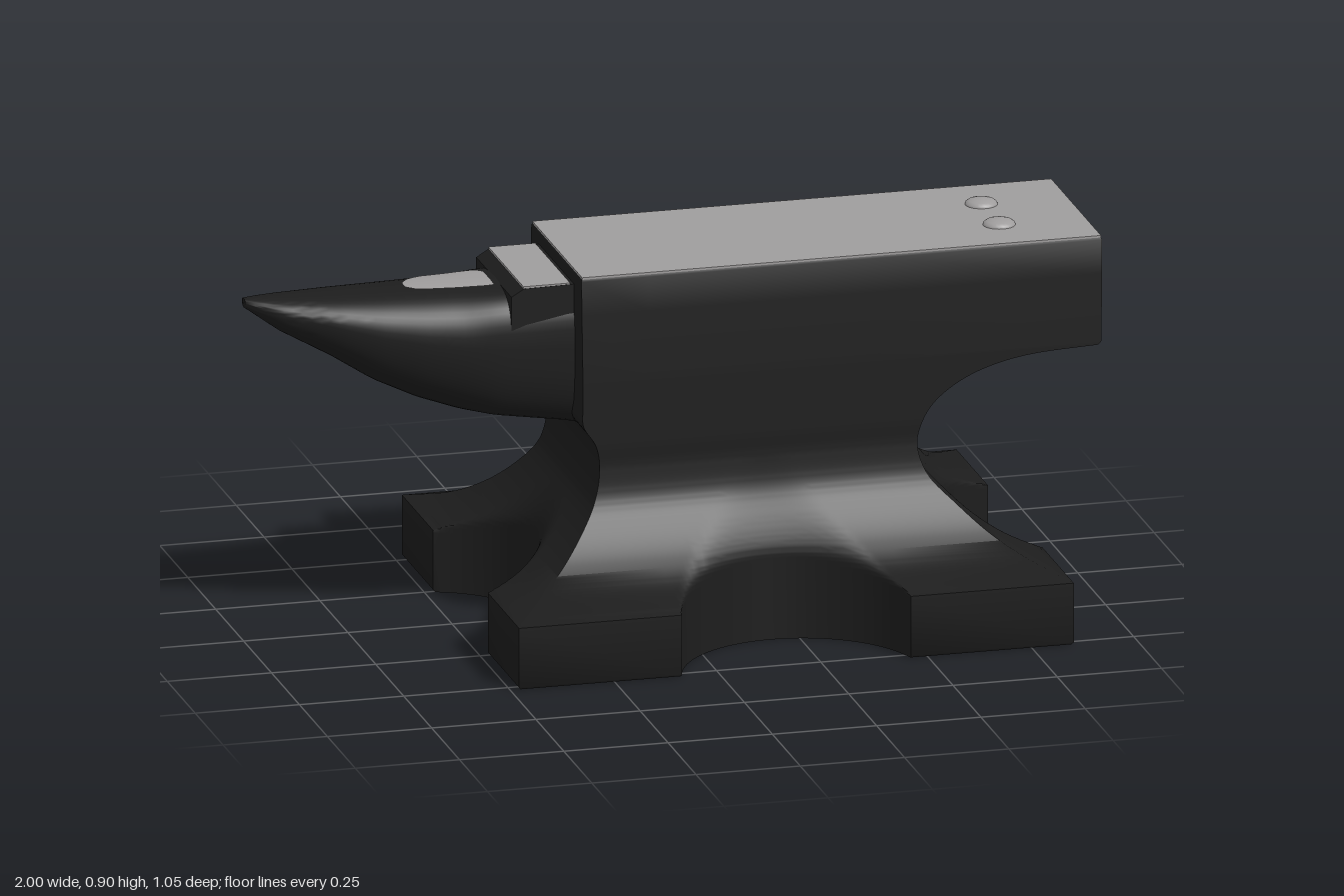
import * as THREE from 'three';
import { toCreasedNormals } from 'three/addons/utils/BufferGeometryUtils.js';

const iron = new THREE.MeshStandardMaterial({ color: 0x1d1d1d });
iron.name = 'dark iron';
const steel = new THREE.MeshStandardMaterial({ color: 0x9f9d9d });
steel.name = 'polished steel';

// Skin a list of closed rings, each an array of Vector3
function loft(rings, crease) {
  const n = rings[0].length, index = [];
  const g = new THREE.BufferGeometry().setFromPoints(rings.flat());
  for (let j = 0; j < rings.length - 1; j++) {
    for (let i = 0; i < n; i++) {
      const a = j * n + i, b = j * n + (i + 1) % n;
      index.push(a, a + n, b + n, a, b + n, b);
    }
  }
  g.setIndex(index);
  return toCreasedNormals(g, crease);
}

function add(group, name, geometry, material) {
  const m = new THREE.Mesh(geometry, material);
  m.name = name;
  group.add(m);
  return m;
}

// Linear lookup in a list of [x, ...values]
function lookup(table, x, k) {
  let i = 1;
  while (i < table.length - 1 && table[i][0] < x) i++;
  const a = table[i - 1], b = table[i];
  return THREE.MathUtils.mapLinear(x, a[0], b[0], a[k], b[k]);
}

// Limit the size of v, rounding the change-over by k
function softLimit(v, limit, k) {
  const a = Math.abs(v), h = k > 0 ? Math.max(k - Math.abs(a - limit), 0) / k : 0;
  return Math.sign(v) * (Math.min(a, limit) - h * h * k / 4);
}

// Footprint: a rectangle with a circular bite in every side, and how far each point is bitten in
const CX = 0.185, HX = 0.665, HZ = 0.525;
function footprint() {
  const pts = [], N = 40;
  for (let s = 0; s < 4; s++) {
    const [along, out, half, depth] = s % 2 ? [HZ, HX, 0.245, 0.18] : [HX, HZ, 0.275, 0.22];
    const R = (half * half + depth * depth) / (2 * depth), sweep = Math.asin(half / R);
    const run = [[along, out, 0]];
    for (let i = 0; i <= N; i++) {
      const t = sweep * (1 - 2 * i / N), bite = Math.max(R * Math.cos(t) - R + depth, 0);
      run.push([R * Math.sin(t), out - bite, bite]);
    }
    for (const [u, v, bite] of run) {
      const [x, z] = [[u, v], [-v, u], [-u, -v], [v, -u]][s];
      pts.push({ x, z, kx: s % 2 ? 0.35 * bite : 0, kz: s % 2 ? 0 : 0.35 * bite });
    }
  }
  return pts;
}

// Horn profile: x, top, bottom, half width, squareness
const horn = [
  [-1, 0.834, 0.812, 0.015, 2], [-0.97, 0.835, 0.79, 0.036, 2], [-0.92, 0.835, 0.753, 0.062, 2.1],
  [-0.8, 0.835, 0.685, 0.1, 2.2], [-0.7, 0.835, 0.62, 0.123, 2.3], [-0.6, 0.835, 0.572, 0.14, 2.4],
  [-0.5, 0.835, 0.537, 0.152, 2.6], [-0.42, 0.836, 0.52, 0.159, 3.2], [-0.25, 0.84, 0.497, 0.166, 3.6],
  [-0.18, 0.84, 0.478, 0.166, 3.6],
];
function hornShape(x) {
  return [1, 2, 3, 4].map(k => lookup(horn, x, k));
}
function hornPoint(x, a) {
  const [top, bot, w, n] = hornShape(x);
  const mid = bot + 0.6 * (top - bot), c = Math.cos(a), s = Math.sin(a);
  const e = 2 / n;
  return new THREE.Vector3(x,
    mid + Math.sign(s) * Math.abs(s) ** e * (s > 0 ? top - mid : mid - bot),
    Math.sign(c) * Math.abs(c) ** e * w);
}
function hornTop(x, z) {
  const [top, bot, w, n] = hornShape(x);
  return bot + (top - bot) * (0.6 + 0.4 * (1 - Math.abs(z / w) ** n) ** (1 / n));
}

export function createModel() {
  const group = new THREE.Group();
  group.name = 'anvil';

  // Body: the footprint cut down to a rectangle at each height (y, x min, x max, z half)
  const plan = footprint();
  const flare = [
    [0.15, -0.48, 0.85, 0.525], [0.185, -0.395, 0.765, 0.415], [0.23, -0.325, 0.695, 0.345],
    [0.29, -0.265, 0.63, 0.288], [0.35, -0.225, 0.575, 0.25], [0.42, -0.21, 0.552, 0.238],
    [0.48, -0.218, 0.565, 0.238], [0.53, -0.248, 0.6, 0.238], [0.575, -0.25, 0.665, 0.238],
    [0.605, -0.25, 0.745, 0.238], [0.622, -0.25, 0.84, 0.238], [0.63, -0.25, 0.985, 0.238],
  ];
  const xs = new THREE.CatmullRomCurve3(flare.map(r => new THREE.Vector3(r[1], r[0], r[2])), false, 'catmullrom');
  const zs = new THREE.CatmullRomCurve3(flare.map(r => new THREE.Vector3(r[3], r[0], 0)), false, 'catmullrom');
  const levels = [[0, -0.475, 0.845, 0.52], [0.006, -0.48, 0.85, 0.525], [0.144, -0.48, 0.85, 0.525]];
  const STEPS = 110;
  for (let i = 0; i <= STEPS; i++) {
    const p = xs.getPoint(i / STEPS);
    levels.push([p.y, p.x, p.z, zs.getPoint(i / STEPS).x]);
  }
  levels.push([0.638, -0.25, 0.993, 0.238], [0.8, -0.25, 0.997, 0.229],
    [0.88, -0.25, 0.998, 0.225], [0.885, -0.248, 0.996, 0.223]);
  const rings = levels.map(([y, x0, x1, z]) => plan.map(p => {
    // above the waist the heel overhangs the feet, so its end is flat
    const upper = y > 0.42, limit = p.x > 0 ? x1 - CX : CX - x0;
    const px = upper && p.x > 0.367 ? limit : softLimit(p.x, limit, upper ? 0 : p.kx);
    return new THREE.Vector3(CX + px, y, softLimit(p.z, z, upper ? 0 : p.kz));
  }));
  rings.push(plan.map(() => new THREE.Vector3(0.37, 0.885, 0)));
  add(group, 'body', loft(rings, 0.85), iron);

  // Underside of the feet
  const under = new THREE.ShapeGeometry(new THREE.Shape(plan.map(p => new THREE.Vector2(
    CX + softLimit(p.x, HX - 0.005, 0), softLimit(p.z, HZ - 0.005, 0)))));
  add(group, 'underside', under.rotateX(Math.PI / 2), iron);

  // Horn
  const hornRings = [];
  for (let j = 0; j <= 40; j++) {
    const x = -1 + 0.82 * j / 40;
    hornRings.push(Array.from({ length: 48 }, (_, i) => hornPoint(x, i / 48 * Math.PI * 2)));
  }
  hornRings.unshift(hornRings[0].map(() => new THREE.Vector3(-1, 0.825, 0)));
  add(group, 'horn', loft(hornRings, 1), iron);

  // Worn bright patch on the horn: x, z min, z max
  const worn = [[-0.62, -0.005, 0.025], [-0.6, -0.035, 0.04], [-0.56, -0.062, 0.048],
    [-0.5, -0.066, 0.054], [-0.43, -0.062, 0.062], [-0.415, -0.04, 0.06]];
  const patch = new THREE.PlaneGeometry(1, 1, 20, 8);
  const pos = patch.attributes.position;
  for (let i = 0; i < pos.count; i++) {
    const x = -0.5175 + pos.getX(i) * 0.205;
    const z = THREE.MathUtils.lerp(lookup(worn, x, 1), lookup(worn, x, 2), 0.5 - pos.getY(i));
    pos.setXYZ(i, x, hornTop(x, z) + 0.003, z);
  }
  patch.computeVertexNormals();
  add(group, 'hornPatch', patch, steel);

  // Step between horn and face
  const profile = [[-0.4, 0.72], [-0.4, 0.835], [-0.37, 0.853], [-0.24, 0.855], [-0.24, 0.72]];
  const step = new THREE.ExtrudeGeometry(new THREE.Shape(profile.map(p => new THREE.Vector2(...p))),
    { depth: 0.316, bevelEnabled: false });
  add(group, 'step', step.translate(0, 0, -0.158), iron);
  add(group, 'stepPlate', new THREE.BoxGeometry(0.112, 0.006, 0.314), steel).position.set(-0.315, 0.855, 0);

  // Face plate
  add(group, 'facePlate', new THREE.BoxGeometry(1.244, 0.006, 0.446), steel).position.set(0.374, 0.887, 0);

  // Domed studs on the heel
  const dome = [[0.038, 0], [0.037, 0.005], [0.03, 0.01], [0.017, 0.014], [0, 0.015]];
  for (const z of [-0.08, 0.08]) {
    const stud = new THREE.LatheGeometry(dome.map(p => new THREE.Vector2(...p)), 24);
    add(group, 'stud', stud, steel).position.set(0.79, 0.89, z);
  }
  return group;
}
